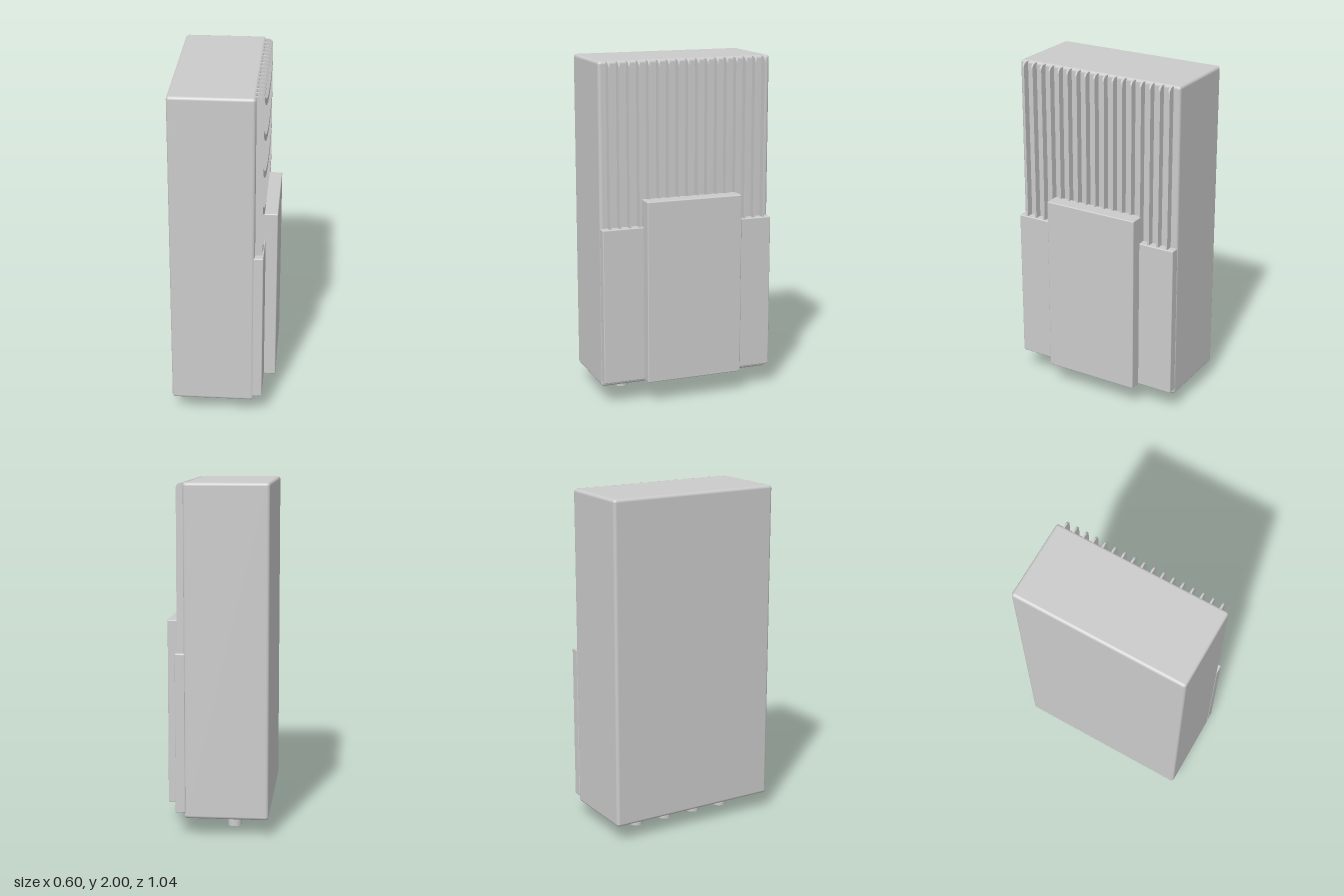
import * as THREE from 'three';
import { RoundedBoxGeometry } from 'three/addons/geometries/RoundedBoxGeometry.js';

const grey = new THREE.MeshStandardMaterial({ color: 0xcccccc });

export function createModel() {
  const model = new THREE.Group();

  function add(name, geometry, x = 0, y = 0, z = 0) {
    const mesh = new THREE.Mesh(geometry, grey);
    mesh.name = name;
    mesh.position.set(x, y, z);
    model.add(mesh);
  }

  // Soft-edged box given by its limits on each axis
  function box(name, [x0, x1], [y0, y1], [z0, z1], radius) {
    add(name, new RoundedBoxGeometry(x1 - x0, y1 - y0, z1 - z0, 3, radius),
      (x0 + x1) / 2, (y0 + y1) / 2, (z0 + z1) / 2);
  }

  // Main housing, the low cover on its +x side and the raised panel on that
  box('housing', [-0.3, 0.18], [0.1, 2], [-0.522, 0.522], 0.018);
  box('lowerCover', [0.172, 0.229], [0.133, 1.05], [-0.522, 0.522], 0.006);
  box('raisedPanel', [0.2, 0.298], [0.133, 1.21], [-0.305, 0.277], 0.006);

  // Cooling fins: thin upright blades with a rounded outer top corner
  const profile = new THREE.Shape();
  profile.moveTo(0.165, 1.04);
  profile.lineTo(0.222, 1.04);
  profile.lineTo(0.222, 1.965);
  profile.quadraticCurveTo(0.222, 1.997, 0.19, 1.997);
  profile.lineTo(0.165, 1.997);
  const thickness = 0.011;
  const blade = new THREE.ExtrudeGeometry(profile, { depth: thickness, bevelEnabled: false, curveSegments: 6 });
  blade.translate(0, 0, -thickness / 2);
  const finCount = 17;
  for (let i = 0; i < finCount; i++) {
    add('coolingFin', blade, 0, 0, -0.476 + i * (0.948 / (finCount - 1)));
  }

  // Connector pegs under the housing
  const peg = new THREE.CylinderGeometry(0.04, 0.04, 0.13, 20);
  for (const z of [0.315, 0.12, -0.083, -0.28]) add('connectorPeg', peg, -0.09, 0.065, z);

  return model;
}
